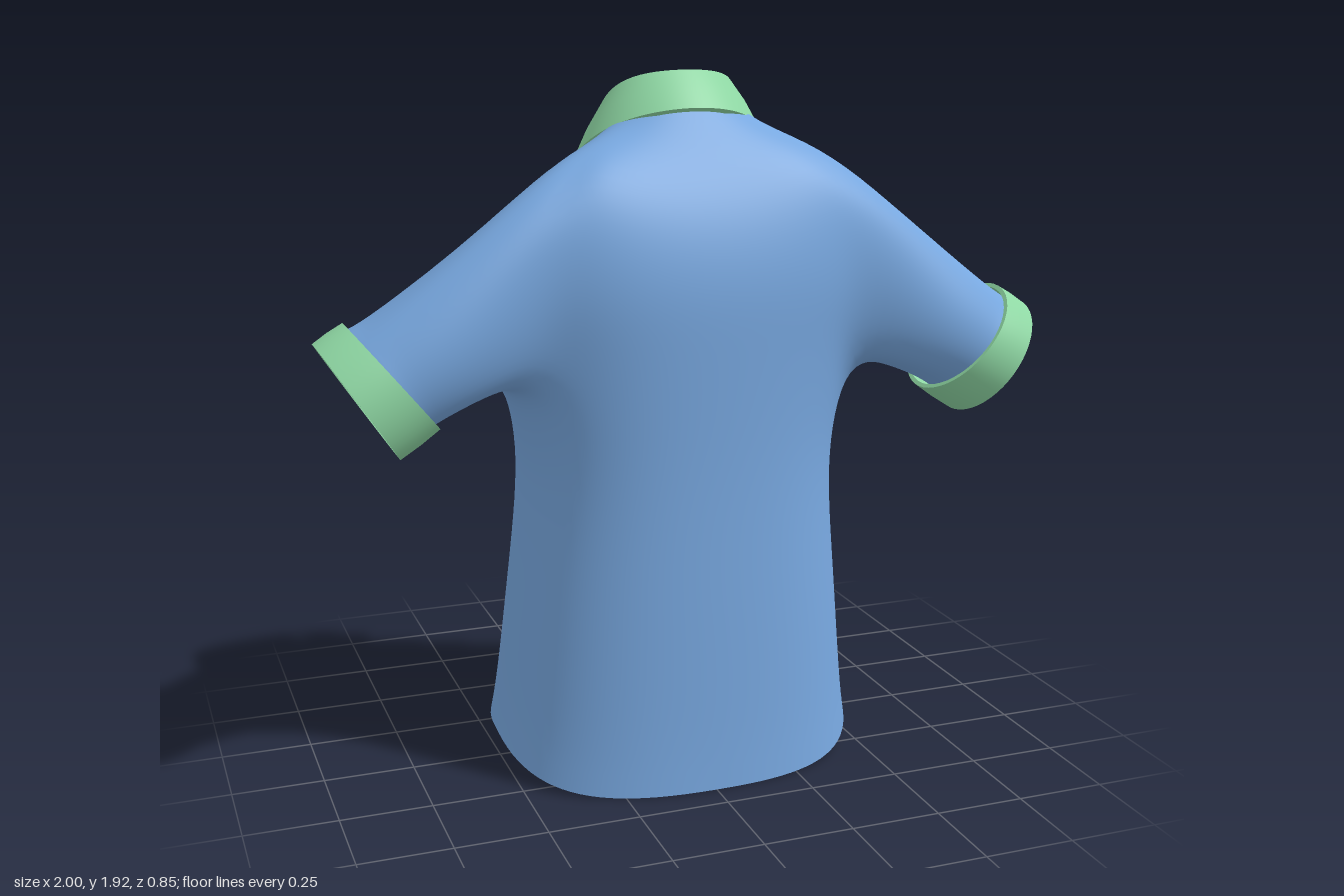
import * as THREE from 'three';
import { toCreasedNormals } from 'three/addons/utils/BufferGeometryUtils.js';

const mat = (color) => new THREE.MeshStandardMaterial({ color, side: THREE.DoubleSide });
const V = (x, y, z) => new THREE.Vector3(x, y, z);

// Point on a tilted oval: half width w; y and z given at front, side and back.
function ovalPoint([w, yf, ys, yb, zf, zs, zb], a, p = 1) {
  const pow = (v) => Math.sign(v) * Math.abs(v) ** p;
  const s = pow(Math.sin(a));
  const mix = (f, m, b) => m + s * (b - f) / 2 + s * s * ((b + f) / 2 - m);
  return V(w * pow(Math.cos(a)), mix(yf, ys, yb), mix(zf, zs, zb));
}

function indexed(points, index) {
  const g = new THREE.BufferGeometry().setFromPoints(points);
  g.setIndex(index);
  g.computeVertexNormals();
  return g;
}

// Skin between sections of equal length.
function loft(sections, closed) {
  const n = sections[0].length, index = [];
  for (let j = 0; j + 1 < sections.length; j++) {
    for (let i = 0; i < (closed ? n : n - 1); i++) {
      const a = j * n + i, d = j * n + (i + 1) % n;
      index.push(a, a + n, d + n, a, d + n, d);
    }
  }
  return indexed(sections.flat(), index);
}

// Body ovals from hem to neck: w, y front/side/back, z front/side/back
const BODY = [
  [0.518, 0.1, 0.1, 0.0, -0.42, 0.02, 0.42],
  [0.475, 0.5, 0.5, 0.5, -0.365, 0.04, 0.42],
  [0.442, 0.88, 0.88, 0.88, -0.31, 0.06, 0.415],
  [0.49, 1.16, 1.125, 1.2, -0.25, 0.1, 0.425],
  [0.5, 1.26, 1.38, 1.4, -0.223, 0.18, 0.425],
  [0.415, 1.36, 1.672, 1.6, -0.195, 0.2, 0.37],
  [0.19, 1.47, 1.745, 1.795, -0.165, 0.05, 0.238],
  [0.165, 1.57, 1.808, 1.9, -0.17, 0.0, 0.15],
];
const CUFF_AXIS = V(0.835, -0.55, 0), CUFF_UP = V(0.55, 0.835, 0);

// Hem-to-neck line at one angle: round in front, boxier behind, tail dipping at the back
function bodyCurve(a) {
  const line = BODY.map((k) => ovalPoint(k, a, Math.sin(a) < 0 ? 0.96 : 0.84));
  line[0].y = 0.1 * (1 - THREE.MathUtils.smoothstep(line[0].z, -0.02, 0.42));
  return new THREE.CatmullRomCurve3(line);
}

// Shirt surface: ringed torso with two armholes, each lofted out to a sleeve end
function shirtGeometry() {
  const N = 96, STEP = 8, ROWS = (BODY.length - 1) * STEP, K = 9, J0 = 3 * STEP, J1 = 5 * STEP, S = 16;
  const pts = [], index = [], fixed = new Set();
  const id = (i, j) => j * N + (i + N) % N;
  const quad = (a, b, c, d) => index.push(a, b, c, a, c, d);
  const curves = Array.from({ length: N }, (_, i) => bodyCurve(i / N * Math.PI * 2));
  for (let j = 0; j <= ROWS; j++) {
    for (let i = 0; i < N; i++) {
      if (j === 0 || j === ROWS) fixed.add(pts.length);
      pts.push(curves[i].getPoint(j / ROWS));
    }
  }
  const inHole = (i, c) => (i - c + N + K) % N < 2 * K;
  for (let j = 0; j < ROWS; j++) {
    for (let i = 0; i < N; i++) {
      if (j >= J0 && j < J1 && (inHole(i, 0) || inHole(i, N / 2))) continue;
      quad(id(i, j), id(i, j + 1), id(i + 1, j + 1), id(i + 1, j));
    }
  }
  for (const side of [1, -1]) {
    const c = side > 0 ? 0 : N / 2, rim = [];
    for (let i = -K; i < K; i++) rim.push(id(c + i, J0));
    for (let j = J0; j < J1; j++) rim.push(id(c + K, j));
    for (let i = K; i > -K; i--) rim.push(id(c + i, J1));
    for (let j = J1; j > J0; j--) rim.push(id(c - K, j));
    let prev = rim;
    const axis = V(CUFF_AXIS.x * side, CUFF_AXIS.y, 0);
    // Each sleeve line bends from the armhole into the cuff direction
    const lines = rim.map((v) => {
      const t = Math.atan2(pts[v].y - 1.4, (pts[v].z - 0.15) * 1.2);
      const end = V(0.85, 1.145, 0.203 + 0.173 * Math.cos(t)).addScaledVector(CUFF_UP, 0.161 * Math.sin(t));
      end.x *= side;
      const bend = end.clone().addScaledVector(axis, -0.15);
      bend.z += 0.015 + 0.04 * Math.cos(t);
      return new THREE.QuadraticBezierCurve3(pts[v].clone(), bend, end);
    });
    for (let s = 1; s <= S; s++) {
      const next = lines.map((line) => {
        if (s >= S - 1) fixed.add(pts.length);
        return pts.push(line.getPoint(s / S)) - 1;
      });
      rim.forEach((_, m) => {
        const n = (m + 1) % rim.length;
        quad(prev[m], next[m], next[n], prev[n]);
      });
      prev = next;
    }
  }
  // Relax the cloth so the armholes blend softly
  const near = pts.map(() => new Set());
  for (let k = 0; k < index.length; k += 3) {
    for (let e = 0; e < 3; e++) {
      const a = index[k + e], b = index[k + (e + 1) % 3];
      near[a].add(b);
      near[b].add(a);
    }
  }
  for (let pass = 0; pass < 22; pass++) {
    const old = pts.map((p) => p.clone());
    pts.forEach((p, v) => {
      if (fixed.has(v) || near[v].size === 0) return;
      const mean = V(0, 0, 0);
      near[v].forEach((n) => mean.add(old[n]));
      p.lerp(mean.divideScalar(near[v].size), 0.5);
    });
  }
  return indexed(pts, index);
}

// Folded collar: inner rim, fold, outer edge and turned underside, open at the throat.
// The last number of each ring is half its throat opening.
function collarGeometry() {
  const rings = [
    [0.172, 1.605, 1.81, 1.905, -0.178, 0, 0.158, 0.04],
    [0.182, 1.622, 1.822, 1.92, -0.188, 0, 0.168, 0.05],
    [0.226, 1.545, 1.752, 1.877, -0.2, 0, 0.21, 0.11],
    [0.266, 1.45, 1.67, 1.826, -0.21, 0, 0.247, 0.18],
    [0.254, 1.447, 1.662, 1.816, -0.195, 0, 0.233, 0.18],
  ];
  const M = 72;
  const sections = rings.map((r) => Array.from({ length: M + 1 }, (_, i) =>
    ovalPoint(r, -Math.PI / 2 + r[7] + (i / M) * (Math.PI * 2 - 2 * r[7]))));
  return toCreasedNormals(loft(sections.reverse(), false), 0.8);
}

// Button strip following the front of the body
function placketGeometry(front) {
  const sections = [];
  for (let j = 0; j <= 40; j++) {
    const p = front.getPoint(j / 40 * 0.86);
    const x = -THREE.MathUtils.lerp(0.108, 0.05, Math.min(p.y / 1.4, 1));
    const zo = p.z - 0.008, zi = p.z + 0.014;
    sections.push([V(x, p.y, zi), V(x, p.y, zo), V(0, p.y, zo), V(0, p.y, zi)]);
  }
  return toCreasedNormals(loft(sections.reverse(), true), 0.6);
}

export function createModel() {
  const group = new THREE.Group();
  const blue = mat(0x78a8e0), green = mat(0x8fd8a4), red = mat(0xc8684c);
  const add = (name, geometry, material) => {
    const mesh = new THREE.Mesh(geometry, material);
    mesh.name = name;
    group.add(mesh);
    return mesh;
  };
  add('shirtBody', shirtGeometry(), blue);
  add('collar', collarGeometry(), green);

  const front = bodyCurve(-Math.PI / 2);
  add('placket', placketGeometry(front), green);

  // Cuffs: thick bands around the sleeve ends, cut slightly longer on top
  const band = [[0.168, 0], [0.18, 0], [0.183, 0.055], [0.182, 0.11], [0.17, 0.11], [0.168, 0]]
    .map(([r, h]) => new THREE.Vector2(r, h));
  for (const side of [1, -1]) {
    const shape = new THREE.LatheGeometry(band, 48);
    const pos = shape.attributes.position;
    for (let i = 0; i < pos.count; i++) {
      const h = pos.getY(i);
      pos.setY(i, h - side * pos.getX(i) * 0.1 * (1 - h / 0.11));
    }
    const cuff = add(side > 0 ? 'leftCuff' : 'rightCuff', toCreasedNormals(shape, 0.6), green);
    const axis = V(CUFF_AXIS.x * side, CUFF_AXIS.y, 0).normalize();
    cuff.quaternion.setFromUnitVectors(V(0, 1, 0), axis);
    cuff.position.set(0.808 * side, 1.171, 0.203);
    cuff.scale.z = 1.05;
  }

  // Buttons down the strip
  const buttonShape = new THREE.SphereGeometry(0.016, 16, 12);
  const path = front.getPoints(200);
  [0.23, 0.41, 0.6, 0.78, 0.98, 1.13, 1.27, 1.445].forEach((y, k) => {
    const p = path.find((q) => q.y >= y);
    add('button' + (k + 1), buttonShape, red).position.set(-0.054 + 0.003 * k, y, p.z - 0.013);
  });
  return group;
}
